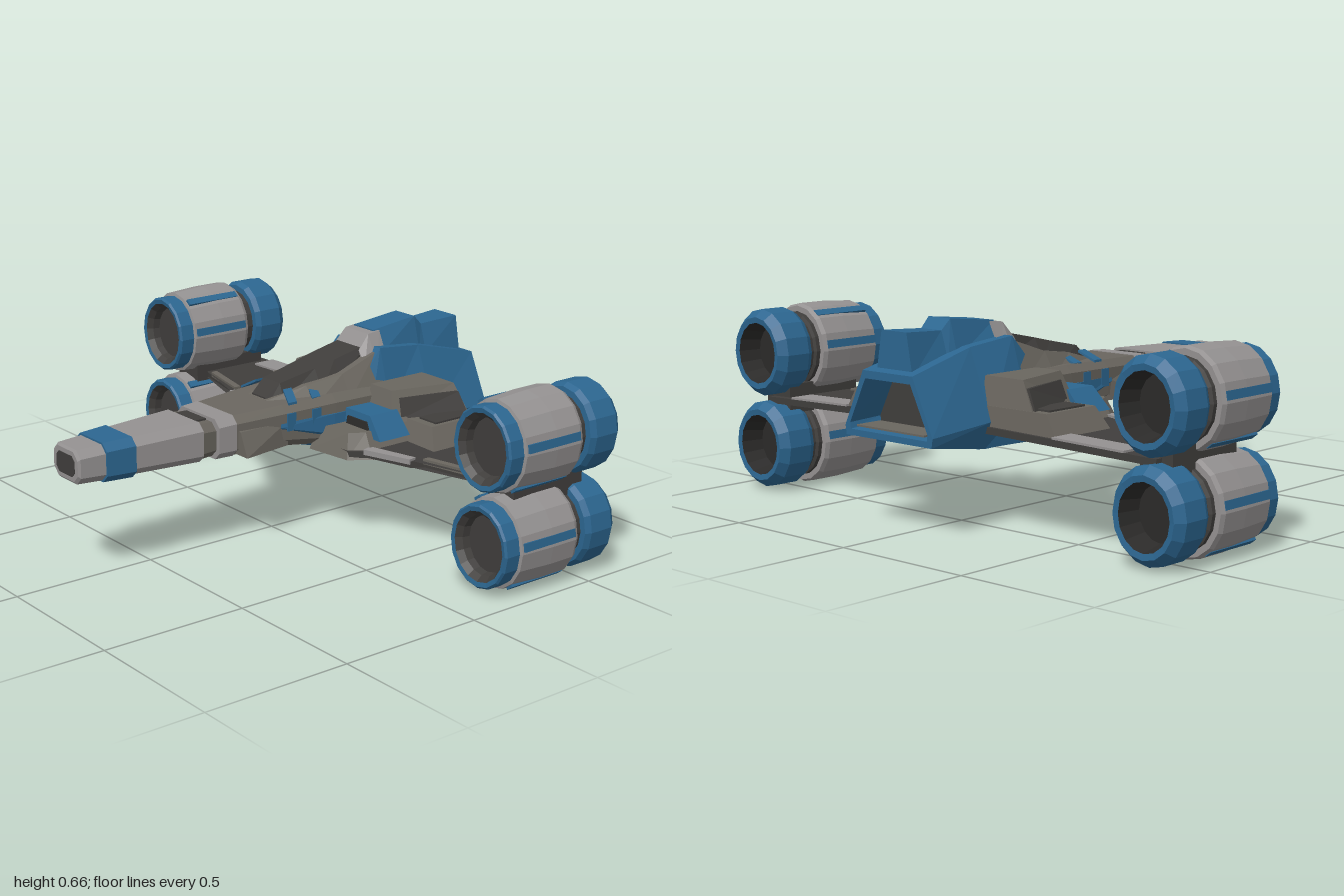
import * as THREE from 'three';

const mat = (name, color, extra = {}) =>
  Object.assign(new THREE.MeshStandardMaterial({ color, flatShading: true, ...extra }), { name });

// Skin a list of equal-length rings of [x, y, z] points, cap both ends, face outwards.
function loft(rings) {
  const tris = [], n = rings[0].length;
  for (let r = 0; r < rings.length - 1; r++) {
    for (let i = 0; i < n; i++) {
      const j = (i + 1) % n, A = rings[r], B = rings[r + 1];
      tris.push([A[i], B[i], B[j]], [A[i], B[j], A[j]]);
    }
  }
  const first = rings[0], last = rings[rings.length - 1];
  for (let i = 1; i < n - 1; i++) {
    tris.push([first[0], first[i], first[i + 1]], [last[0], last[i + 1], last[i]]);
  }
  let volume = 0;
  for (const [a, b, c] of tris) {
    volume += new THREE.Vector3(...a).dot(new THREE.Vector3(...b).cross(new THREE.Vector3(...c)));
  }
  if (volume < 0) tris.forEach((t) => t.reverse());
  const g = new THREE.BufferGeometry();
  g.setAttribute('position', new THREE.Float32BufferAttribute(tris.flat(2), 3));
  g.computeVertexNormals();
  return g;
}

// Chamfered rectangle across the fuselage.
const oct = ([z, w, y0, y1, c = 0.025]) => [
  [w - c, y0], [w, y0 + c], [w, y1 - c], [w - c, y1],
  [c - w, y1], [-w, y1 - c], [-w, y0 + c], [c - w, y0],
].map(([x, y]) => [x, y, z]);

// Six-sided hull section: bottom, widest and top levels.
const hex = ([z, wb, yb, wm, ym, wt, yt]) => [
  [wb, yb, z], [wm, ym, z], [wt, yt, z], [-wt, yt, z], [-wm, ym, z], [-wb, yb, z],
];

// Four-sided section with separate bottom and top widths.
const trap = ([z, wb, yb, wt, yt]) => [[wb, yb, z], [wt, yt, z], [-wt, yt, z], [-wb, yb, z]];

export function createModel() {
  const model = new THREE.Group();
  model.name = 'starfighter';
  const blue = mat('blue paint', 0x2c6690);
  const light = mat('light grey', 0x949191);
  const brown = mat('warm grey', 0x6a665f);
  const dark = mat('dark grey', 0x403e3c);
  const black = mat('near black', 0x2b2a29);

  const add = (parent, name, geometry, material) => {
    const m = new THREE.Mesh(geometry, material);
    m.name = name;
    parent.add(m);
    return m;
  };
  const box = (parent, name, material, [w, h, d], [x, y, z]) => {
    const m = add(parent, name, new THREE.BoxGeometry(w, h, d), material);
    m.position.set(x, y, z);
    return m;
  };

  // Long nose and neck
  const nose = new THREE.Group();
  nose.name = 'nose';
  model.add(nose);
  [
    ['noseTip', light, [[0.807, 0.07, 0.35, 0.448], [0.8, 0.077, 0.343, 0.455], [0.71, 0.085, 0.34, 0.458]]],
    ['noseBand', blue, [[0.713, 0.09, 0.335, 0.464], [0.61, 0.1, 0.333, 0.467]]],
    ['noseBody', light, [[0.612, 0.094, 0.34, 0.462], [0.36, 0.113, 0.335, 0.468]]],
    ['noseCollar', brown, [[0.362, 0.108, 0.34, 0.46], [0.3, 0.1, 0.34, 0.455]]],
    ['neckRing', light, [[0.302, 0.117, 0.332, 0.468], [0.235, 0.122, 0.332, 0.471]]],
    ['neck', brown, [[0.24, 0.121, 0.335, 0.469], [0.05, 0.143, 0.335, 0.475], [-0.15, 0.16, 0.31, 0.48], [-0.36, 0.168, 0.29, 0.48]]],
  ].forEach(([name, m, s]) => add(nose, name, loft(s.map(oct)), m));
  add(nose, 'noseFace', loft([[0.809, 0.052, 0.365, 0.433, 0.015], [0.803, 0.052, 0.365, 0.433, 0.015]].map(oct)), dark);
  box(nose, 'collarPanel', dark, [0.11, 0.006, 0.04], [0, 0.461, 0.33]);

  // Canopy with its frame and the cap behind it
  add(model, 'canopyFrame', loft([
    [0.06, 0.08, 0.45, 0.05, 0.475], [-0.08, 0.135, 0.45, 0.085, 0.51],
    [-0.22, 0.15, 0.45, 0.105, 0.53], [-0.37, 0.16, 0.45, 0.1, 0.58]].map(trap)), brown);
  add(model, 'canopy', loft([
    [0.055, 0.045, 0.45, 0.035, 0.481], [0, 0.07, 0.46, 0.045, 0.523],
    [-0.14, 0.1, 0.48, 0.055, 0.552], [-0.22, 0.098, 0.5, 0.06, 0.57], [-0.36, 0.075, 0.52, 0.06, 0.6]].map(trap)), dark);
  add(model, 'canopyCap', loft([
    [-0.325, 0.1, 0.54, 0.065, 0.585], [-0.37, 0.108, 0.54, 0.06, 0.635], [-0.42, 0.108, 0.54, 0.06, 0.64]].map(trap)), light);

  // Blue rear hull with a recessed exhaust bay
  add(model, 'rearHull', loft([
    [-0.3, 0.14, 0.285, 0.164, 0.39, 0.12, 0.5], [-0.38, 0.16, 0.262, 0.172, 0.39, 0.112, 0.595],
    [-0.56, 0.165, 0.262, 0.195, 0.35, 0.105, 0.575], [-0.812, 0.19, 0.3, 0.195, 0.33, 0.11, 0.51],
    [-0.812, 0.17, 0.32, 0.173, 0.34, 0.1, 0.485], [-0.7, 0.15, 0.33, 0.155, 0.35, 0.09, 0.475]].map(hex)), blue);
  add(model, 'exhaustBack', loft([
    [-0.706, 0.146, 0.332, 0.15, 0.352, 0.088, 0.472], [-0.7, 0.146, 0.332, 0.15, 0.352, 0.088, 0.472]].map(hex)), dark);
  box(model, 'exhaustFloor', brown, [0.3, 0.006, 0.1], [0, 0.332, -0.755]);
  add(model, 'belly', loft([
    [0.07, 0.09, 0.345, 0.144, 0.405, 0.14, 0.42], [-0.14, 0.13, 0.295, 0.168, 0.35, 0.165, 0.42],
    [-0.36, 0.155, 0.257, 0.17, 0.33, 0.165, 0.42], [-0.58, 0.155, 0.262, 0.17, 0.32, 0.16, 0.4]].map(hex)), blue);
  add(model, 'dorsalSpine', loft([
    [-0.4, 0.09, 0.56, 0.05, 0.642], [-0.59, 0.08, 0.54, 0.048, 0.662],
    [-0.625, 0.075, 0.53, 0.045, 0.628], [-0.782, 0.08, 0.5, 0.055, 0.636]].map(trap)), blue);

  for (const s of [1, -1]) {
    const side = new THREE.Group();
    side.name = s > 0 ? 'leftSide' : 'rightSide';
    model.add(side);
    // Solid between two plan outlines of [x, z]; each height may depend on x.
    const slab = (name, material, bottom, y0, top, y1) => {
      const ring = (pts, y) => pts.map(([x, z]) => [s * x, typeof y === 'function' ? y(x) : y, z]);
      return add(side, name, loft([ring(bottom, y0), ring(top, y1)]), material);
    };
    const rect = (x0, x1, z0, z1) => [[x0, z0], [x1, z0], [x1, z1], [x0, z1]];
    const wingTop = (x) => 0.34 - 0.022 * x;
    const lift = (d) => (x) => wingTop(x) + d;

    // Thin wing, edge strips and raised root blocks
    const wing = [[0.14, -0.08], [0.3, -0.09], [0.34, -0.14], [0.49, -0.19], [0.51, -0.23], [0.86, -0.32], [0.86, -0.575], [0.14, -0.575]];
    slab('wing', dark, wing, lift(-0.022), wing, wingTop);
    const trailing = [[0.46, -0.49], [0.74, -0.49], [0.74, -0.577], [0.46, -0.577]];
    slab('trailingStrip', light, trailing, wingTop, trailing, lift(0.007));
    const leading = [[0.33, -0.125], [0.49, -0.185], [0.485, -0.215], [0.32, -0.165]];
    slab('leadingStrip', light, leading, lift(-0.01), leading, lift(0.008));
    const outer = [[0.51, -0.225], [0.74, -0.285], [0.74, -0.31], [0.51, -0.25]];
    slab('outerStrip', brown, outer, lift(-0.01), outer, lift(0.008));
    slab('wingBlock', brown, rect(0.16, 0.47, -0.31, -0.565), 0.32, rect(0.16, 0.425, -0.34, -0.56), 0.4);
    slab('blockPanel', dark, rect(0.33, 0.41, -0.37, -0.53), 0.398, rect(0.33, 0.41, -0.37, -0.53), 0.406);
    slab('shoulder', brown,
      [[0.15, -0.28], [0.29, -0.28], [0.37, -0.56], [0.15, -0.56]], 0.39,
      [[0.15, -0.31], [0.255, -0.31], [0.31, -0.54], [0.15, -0.54]], 0.49);
    slab('shoulderPanel', dark,
      [[0.27, -0.32], [0.295, -0.32], [0.37, -0.55], [0.32, -0.55]], 0.4,
      [[0.258, -0.33], [0.275, -0.33], [0.335, -0.54], [0.312, -0.54]], 0.465);
    slab('intake', blue, rect(0.14, 0.35, -0.18, -0.31), 0.36, rect(0.14, 0.285, -0.19, -0.31), 0.432);
    slab('intakeMouth', black, rect(0.18, 0.3, -0.173, -0.2), 0.37, rect(0.18, 0.275, -0.181, -0.2), 0.41);
    slab('wingRoot', brown,
      [[0.13, -0.06], [0.3, -0.08], [0.35, -0.15], [0.35, -0.32], [0.13, -0.32]], 0.305,
      [[0.13, -0.1], [0.27, -0.11], [0.3, -0.16], [0.3, -0.32], [0.13, -0.32]], 0.385);

    // Neck fin and painted flashes beside the canopy
    slab('neckFin', brown, [[0.1, 0.23], [0.17, 0.23], [0.14, 0.04], [0.1, 0.04]], 0.34,
      [[0.1, 0.23], [0.135, 0.23], [0.135, 0.04], [0.1, 0.04]], 0.42);
    for (const z of [0.03, -0.07]) {
      const flash = [[0.075, z - 0.02], [0.13, z], [0.13, z - 0.035], [0.075, z - 0.055]];
      slab('flash', blue, flash, (x) => 0.545 - 0.56 * x, flash, (x) => 0.553 - 0.56 * x);
      box(side, 'sideFlash', blue, [0.008, 0.06, 0.035], [s * (z > 0 ? 0.145 : 0.153), 0.42, z]);
    }

    // Pylon joining the stacked engines to the wing tip
    box(side, 'pylon', dark, [0.12, 0.1, 0.3], [s * 0.84, 0.317, -0.4]);

    // Stacked engines, profiles listed from back to front
    for (const y of [0.477, 0.159]) {
      const engine = new THREE.Group();
      engine.name = y > 0.3 ? 'upperEngine' : 'lowerEngine';
      engine.position.set(s * 0.857, y, 0);
      engine.scale.y = 1.1;
      side.add(engine);
      [
        ['nozzle', black, [[0, -0.55], [0.08, -0.55], [0.095, -0.627]]],
        ['rearRing', blue, [[0.095, -0.627], [0.113, -0.63], [0.136, -0.6], [0.136, -0.51], [0.126, -0.49], [0.09, -0.488]]],
        ['waist', dark, [[0.107, -0.495], [0.107, -0.465], [0.118, -0.46], [0.118, -0.43]]],
        ['casing', light, [[0.1, -0.445], [0.136, -0.445], [0.143, -0.43], [0.143, -0.33], [0.136, -0.205], [0.12, -0.2]]],
        ['frontRing', blue, [[0.126, -0.21], [0.126, -0.15], [0.12, -0.143], [0.106, -0.146]]],
        ['intakeLip', dark, [[0.106, -0.146], [0.09, -0.165], [0.085, -0.19], [0, -0.19]]],
      ].forEach(([name, m, pts]) => {
        const g = new THREE.LatheGeometry(pts.map(([r, z]) => new THREE.Vector2(r, z)), 16);
        add(engine, name, g.rotateX(Math.PI / 2), m);
      });
      // Painted lines along the casing
      for (const a of [0.15, Math.PI - 0.15, Math.PI / 2 + 0.6 * s, -Math.PI / 2 + 0.6 * s]) {
        const line = box(engine, 'casingLine', blue, [0.008, 0.025, 0.22], [Math.cos(a) * 0.1385, Math.sin(a) * 0.1385, -0.32]);
        line.rotation.z = a;
      }
    }
  }
  return model;
}
